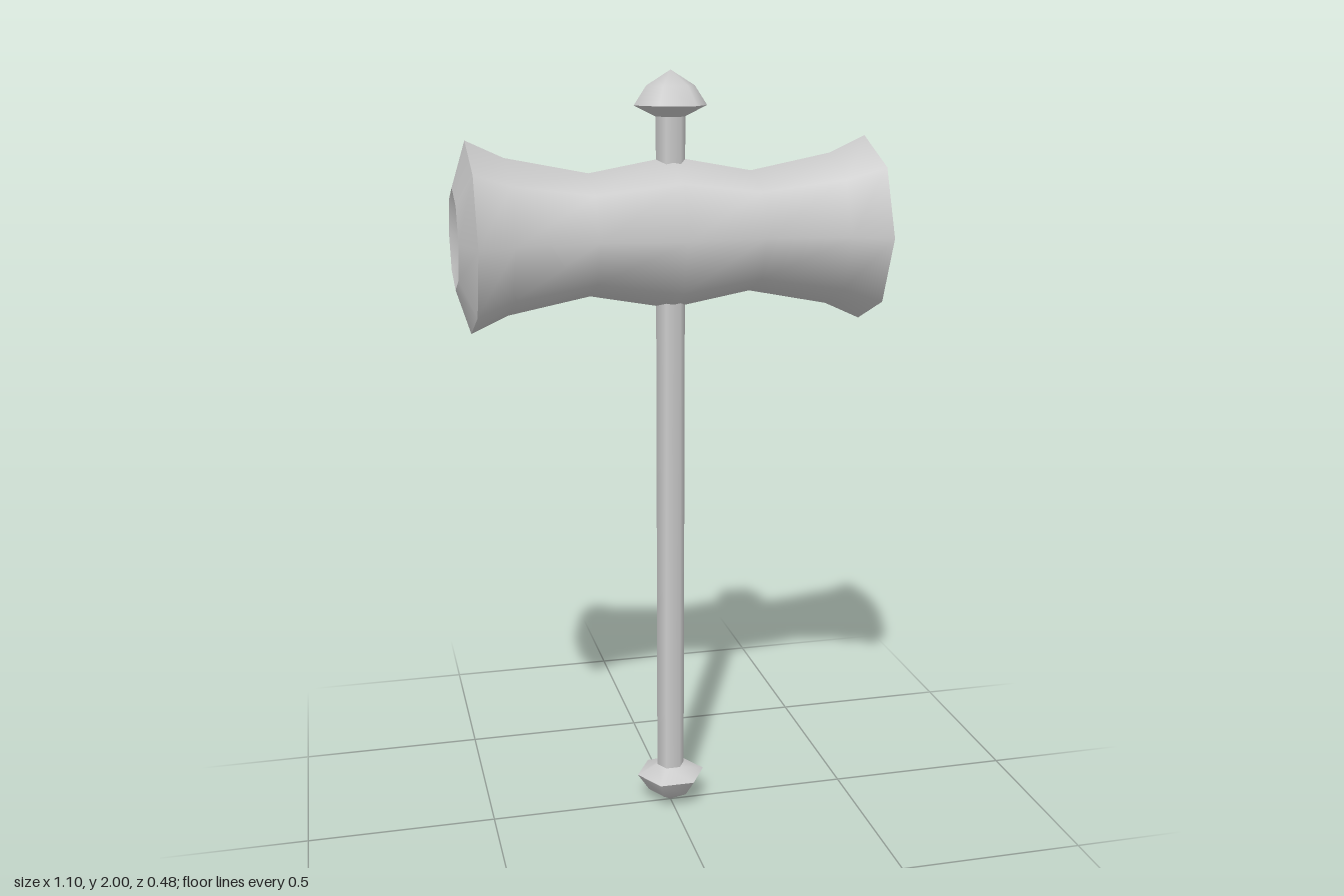
import * as THREE from 'three';

const material = new THREE.MeshStandardMaterial({ color: 0xcccccc });

// Turned surface from [radius, height] pairs; the tip of a closed end gets a smooth axial normal
function turned(name, profile, sides) {
  const points = profile.map(([r, h]) => new THREE.Vector2(r, h));
  const geometry = new THREE.LatheGeometry(points, sides, Math.PI / 2);
  const { position, normal } = geometry.attributes;
  for (let i = 0; i < position.count; i++) {
    if (Math.hypot(position.getX(i), position.getZ(i)) < 1e-6) {
      normal.setXYZ(i, 0, Math.sign(normal.getY(i)), 0);
    }
  }
  const mesh = new THREE.Mesh(geometry, material);
  mesh.name = name;
  return mesh;
}

export function createModel() {
  const model = new THREE.Group();
  model.name = 'mallet';

  // Six-sided handle running through the head
  model.add(turned('handle', [[0.038, 0.1], [0.038, 1.91]], 6));

  // Pointed knobs: a smooth cap and a sloping collar with a sharp rim between
  const cap = [[0.094, 0], [0.062, 0.048], [0, 0.086]];
  const collar = [[0.036, -0.028], [0.094, 0]];
  for (const [name, y, turn] of [['topKnob', 1.914, 0], ['pommel', 0.086, Math.PI]]) {
    const knob = new THREE.Group();
    knob.name = name;
    knob.add(turned('cap', cap, 6), turned('collar', collar, 6));
    knob.position.y = y;
    knob.rotation.x = turn;
    model.add(knob);
  }

  // Eight-sided head lying along x
  const head = new THREE.Group();
  head.name = 'head';
  head.position.y = 1.597;
  const half = [[0.154, 0.21], [0.195, 0.42], [0.238, 0.514]];
  const lower = half.map(([r, h]) => [r, -h]).reverse();
  const body = turned('headBody', [...lower, [0.192, 0], ...half], 8);
  body.rotation.z = -Math.PI / 2;
  head.add(body);

  // Bevelled striking faces, each with a hollow in the middle
  for (const [name, side] of [['leftFace', 1], ['rightFace', -1]]) {
    const face = new THREE.Group();
    face.name = name;
    face.add(
      turned('bevel', [[0.238, 0.514], [0.126, 0.549]], 8),
      turned('hollow', [[0.126, 0.549], [0, 0.49]], 8),
    );
    face.rotation.z = -side * Math.PI / 2;
    head.add(face);
  }
  model.add(head);
  return model;
}
